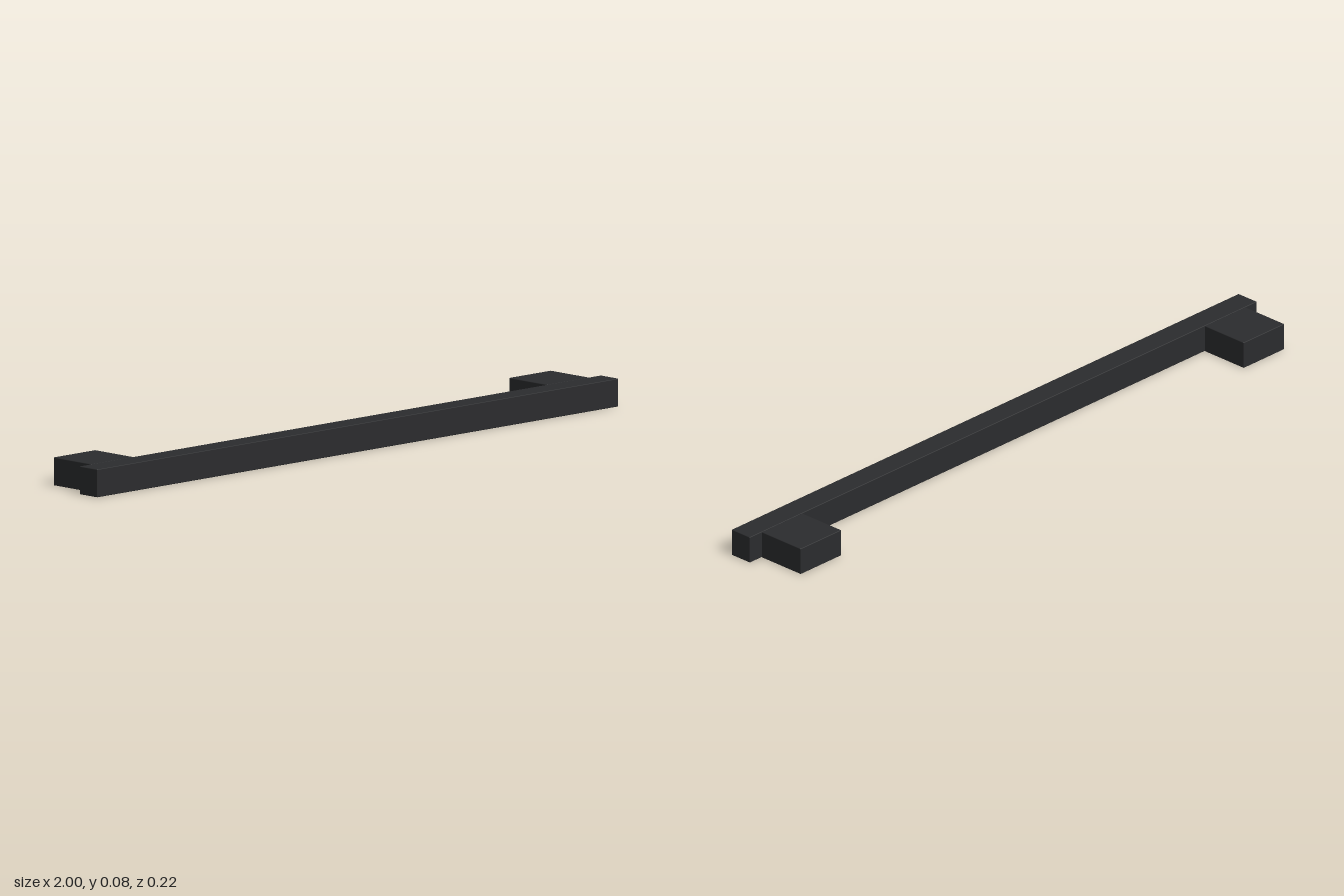
import * as THREE from 'three';
import { RoundedBoxGeometry } from 'three/addons/geometries/RoundedBoxGeometry.js';

const HEIGHT = 0.078;

export function createModel() {
  const group = new THREE.Group();
  group.name = 'barHandle';
  const material = new THREE.MeshStandardMaterial({ color: 0x2b2c2e });

  // Box with barely softened edges, standing on y = 0
  const addBlock = (name, width, depth, x, z) => {
    const mesh = new THREE.Mesh(new RoundedBoxGeometry(width, HEIGHT, depth, 2, 0.002), material);
    mesh.name = name;
    mesh.position.set(x, HEIGHT / 2, z);
    group.add(mesh);
  };

  // Long grip bar at the front
  addBlock('gripBar', 2, 0.069, 0, 0.0745);

  // Mounting blocks behind each end
  for (const [name, side] of [['leftMount', 1], ['rightMount', -1]]) {
    addBlock(name, 0.16, 0.149, side * 0.874, -0.0345);
  }

  return group;
}
